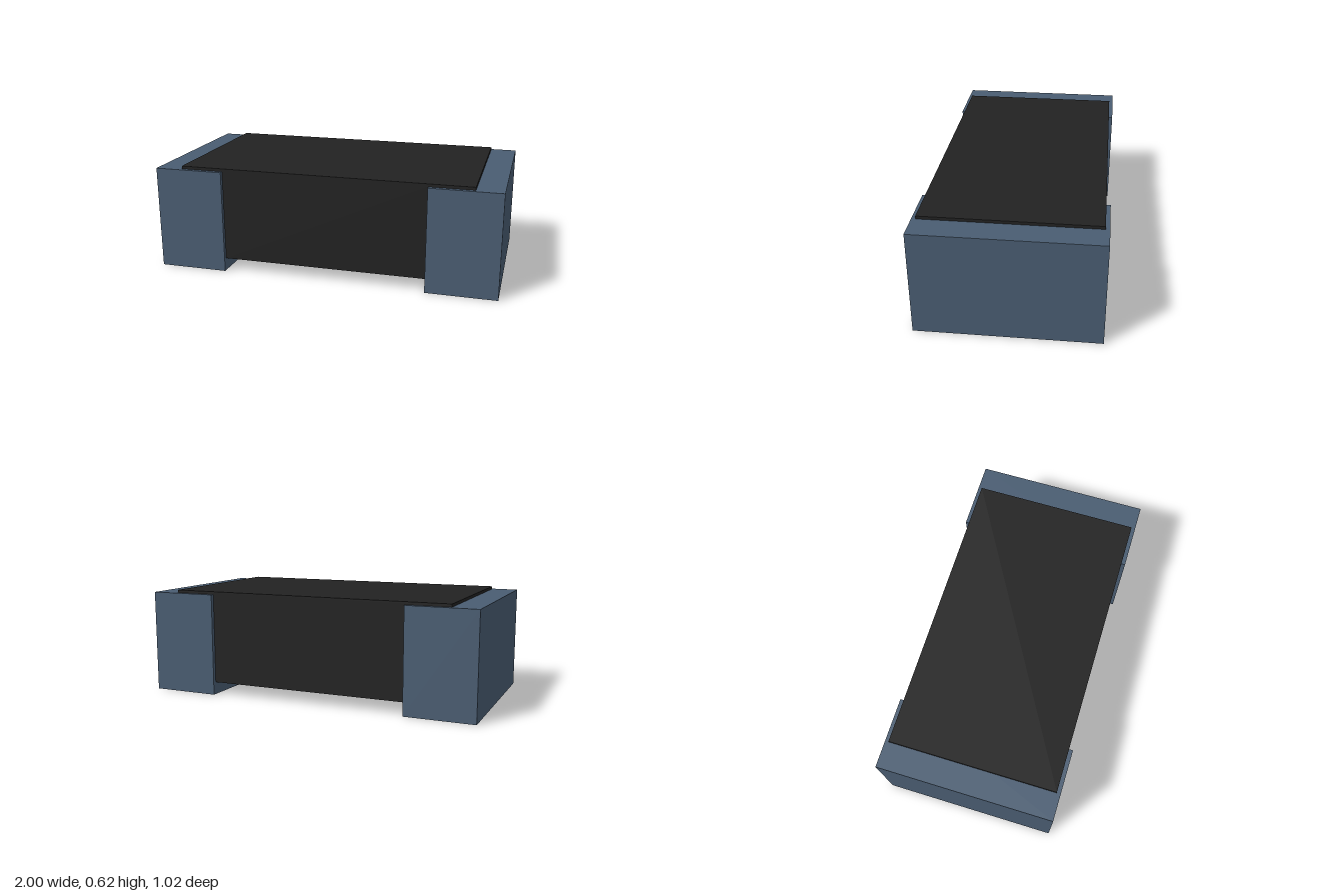
import * as THREE from 'three';

export function createModel() {
  const model = new THREE.Group();
  const casing = new THREE.MeshStandardMaterial({ color: 0x222222 });
  casing.name = 'black casing';
  const metal = new THREE.MeshStandardMaterial({ color: 0x4a5d72 });
  metal.name = 'blue grey metal';

  // Box given by its centre x, bottom and top heights, width and depth
  function addBox(name, material, x, bottom, top, width, depth) {
    const mesh = new THREE.Mesh(new THREE.BoxGeometry(width, top - bottom, depth), material);
    mesh.name = name;
    mesh.position.set(x, (bottom + top) / 2, 0);
    model.add(mesh);
  }

  // Raised body between the terminals, and the thin cover overlapping them
  addBox('body', casing, 0, 0.073, 0.61, 1.2, 0.97);
  addBox('topCover', casing, 0, 0.603, 0.62, 1.695, 0.97);

  // Metal end terminals that the part stands on
  for (const side of [1, -1]) {
    addBox(side > 0 ? 'leftTerminal' : 'rightTerminal', metal, side * 0.798, 0, 0.603, 0.404, 1.016);
  }
  return model;
}
